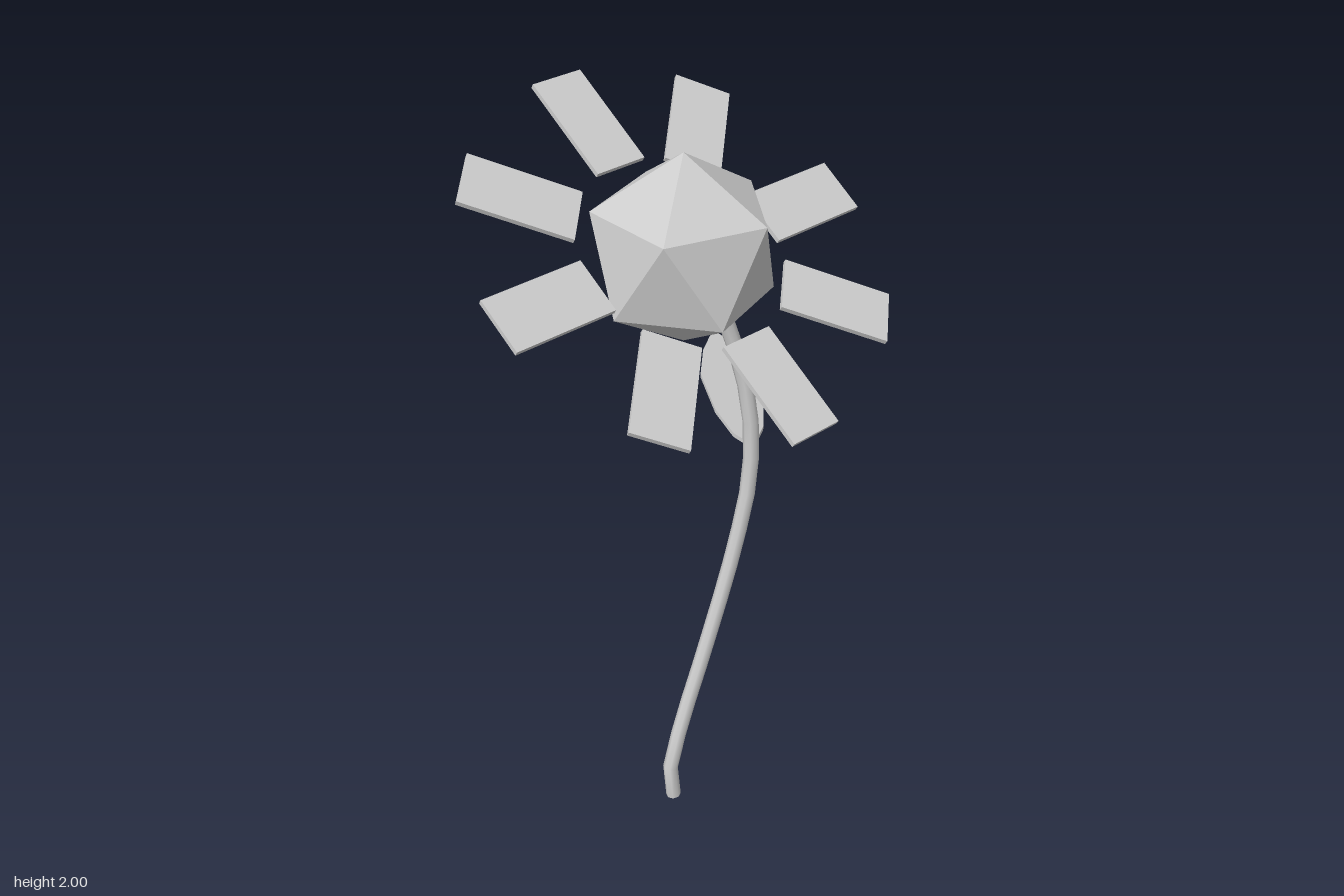
import * as THREE from 'three';

const grey = (flat) => new THREE.MeshStandardMaterial({ color: 0xcccccc, flatShading: flat });

function part(name, geometry, flat = true) {
  const mesh = new THREE.Mesh(geometry, grey(flat));
  mesh.name = name;
  return mesh;
}

// Curved stem: a smooth tube with a flat cap at the foot
function makeStem() {
  const stem = new THREE.Group();
  stem.name = 'stem';
  const path = new THREE.CatmullRomCurve3([
    [-0.038, 0.008, 0], [-0.045, 0.1, -0.006], [0, 0.23, -0.014], [0.1, 0.48, -0.017],
    [0.2, 0.76, -0.018], [0.252, 0.98, -0.018], [0.257, 1.17, -0.03], [0.232, 1.35, -0.06],
    [0.175, 1.52, -0.085], [0.1, 1.64, -0.1],
  ].map((p) => new THREE.Vector3(...p)));
  const cap = part('stemFoot', new THREE.CircleGeometry(0.021, 8));
  cap.position.copy(path.getPoint(0));
  cap.quaternion.setFromUnitVectors(new THREE.Vector3(0, 0, 1), path.getTangent(0).negate());
  stem.add(part('stemTube', new THREE.TubeGeometry(path, 16, 0.021, 8), false), cap);
  return stem;
}

// Leaf: a thin outline seen from above, sheared upwards towards its tip
function makeLeaf() {
  const outline = [
    [0.27, -0.025], [0.34, -0.06], [0.4, -0.12], [0.435, -0.19], [0.445, -0.28], [0.41, -0.33],
    [0.385, -0.318], [0.335, -0.29], [0.275, -0.235], [0.24, -0.14], [0.24, -0.07],
  ].map(([x, z]) => new THREE.Vector2(x, -z));
  const geometry = new THREE.ExtrudeGeometry(new THREE.Shape(outline), { depth: 0.012, bevelEnabled: false });
  geometry.rotateX(-Math.PI / 2);
  const pos = geometry.attributes.position;
  for (let i = 0; i < pos.count; i++) {
    pos.setY(i, pos.getY(i) + 1.066 - 0.12 * pos.getX(i) - 0.586 * pos.getZ(i));
  }
  geometry.computeVertexNormals();
  return part('leaf', geometry);
}

export function createModel() {
  const flower = new THREE.Group();
  flower.name = 'flower';
  flower.add(makeStem(), makeLeaf());

  // Faceted flower centre, one corner pointing straight up
  const centre = part('flowerCentre', new THREE.IcosahedronGeometry(0.235, 0).rotateZ(-Math.atan(2 / (1 + Math.sqrt(5)))));
  centre.position.y = 1.725;
  flower.add(centre);

  // Ring of eight petals, tilted to face forward
  const petals = new THREE.Group();
  petals.name = 'petals';
  petals.position.set(-0.002, 1.721, -0.002);
  petals.rotation.x = 0.572;
  for (let i = 0; i < 8; i++) {
    const petal = part('petal', new THREE.BoxGeometry(0.27, 0.012, 0.14).translate(0.385, 0, 0));
    petal.rotation.y = (i * Math.PI) / 4 + (i % 2) * 0.033;
    petals.add(petal);
  }
  flower.add(petals);
  return flower;
}
